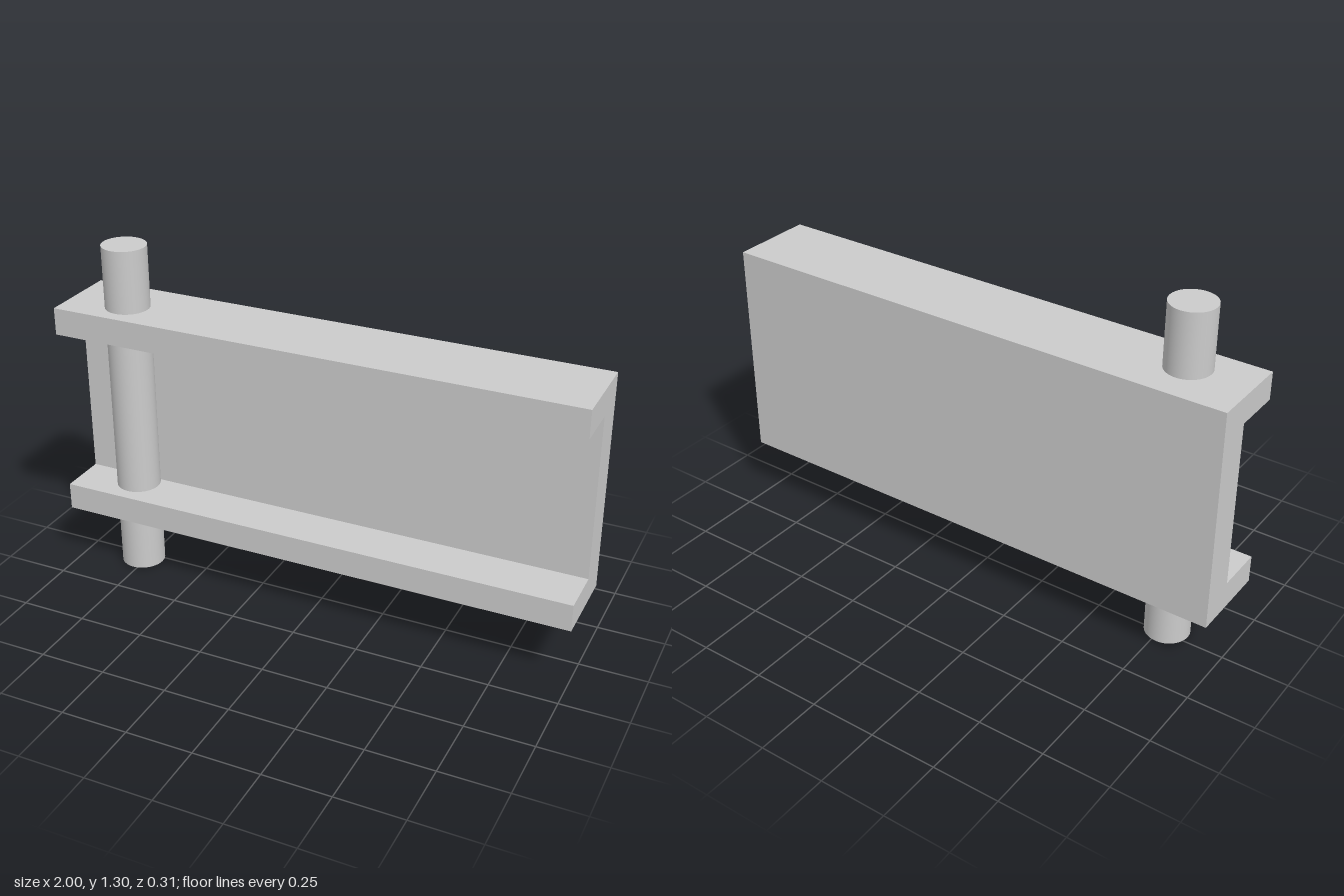
import * as THREE from 'three';

export function createModel() {
  const group = new THREE.Group();
  const material = new THREE.MeshStandardMaterial({ color: 0xcccccc });

  // C-shaped rail: profile drawn as (z, y), swept along x, open to the front
  const back = -0.157, front = 0.157, web = -0.025;
  const bottom = 0.237, top = 1.068, lip = 0.103;
  const profile = new THREE.Shape([
    [back, bottom], [front, bottom], [front, bottom + lip], [web, bottom + lip],
    [web, top - lip], [front, top - lip], [front, top], [back, top],
  ].map(([z, y]) => new THREE.Vector2(z, y)));
  const railGeometry = new THREE.ExtrudeGeometry(profile, { depth: 2, bevelEnabled: false });
  railGeometry.rotateY(-Math.PI / 2).translate(1, 0, 0);
  const rail = new THREE.Mesh(railGeometry, material);
  rail.name = 'channelRail';
  group.add(rail);

  // Upright pin passing through both flanges
  const height = 1.305;
  const pin = new THREE.Mesh(new THREE.CylinderGeometry(0.083, 0.083, height, 48), material);
  pin.name = 'pin';
  pin.position.set(-0.767, height / 2, 0.027);
  group.add(pin);

  return group;
}
